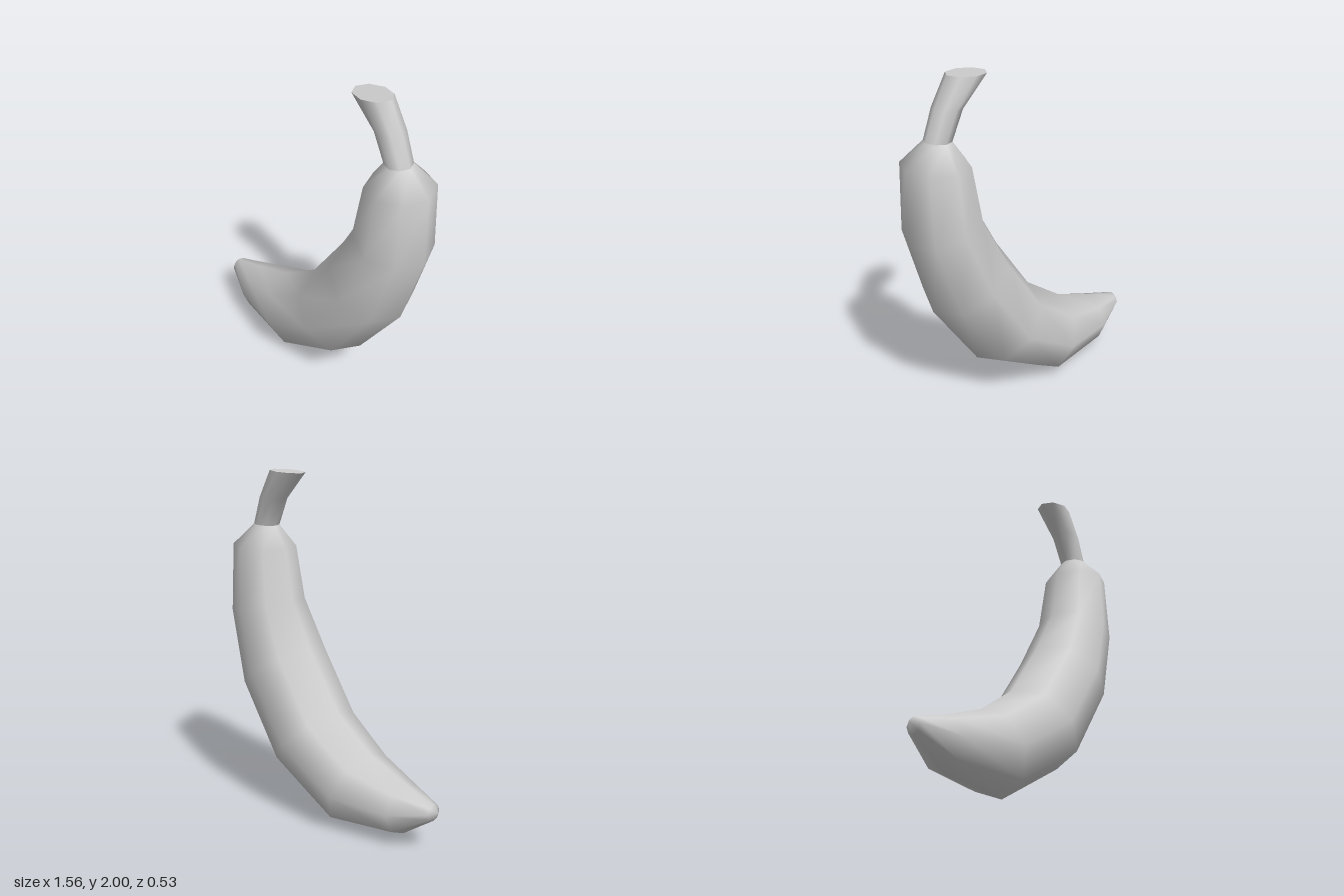
import * as THREE from 'three';
import { mergeVertices } from 'three/addons/utils/BufferGeometryUtils.js';

const SIDES = 8;

// Smooth skin over rings given as [innerX, innerY, outerX, outerY, halfDepth]; halfDepth 0 is a point.
function loft(rings) {
  const positions = [], index = [];
  for (const [ix, iy, ox, oy, w] of rings) {
    for (let j = 0; j < SIDES; j++) {
      const a = (j / SIDES) * Math.PI * 2;
      const k = (1 + Math.cos(a)) / 2;
      positions.push(ix + (ox - ix) * k, iy + (oy - iy) * k, w * Math.sin(a));
    }
  }
  for (let i = 0; i < rings.length - 1; i++) {
    for (let j = 0; j < SIDES; j++) {
      const a = i * SIDES + j, b = i * SIDES + (j + 1) % SIDES;
      const c = a + SIDES, d = b + SIDES;
      if (rings[i][4] > 0) index.push(a, c, b);
      if (rings[i + 1][4] > 0) index.push(b, c, d);
    }
  }
  let geometry = new THREE.BufferGeometry();
  geometry.setAttribute('position', new THREE.Float32BufferAttribute(positions, 3));
  geometry.setIndex(index);
  geometry = mergeVertices(geometry, 1e-4);
  geometry.computeVertexNormals();
  return geometry;
}

export function createModel() {
  const group = new THREE.Group();
  group.name = 'banana';
  const material = new THREE.MeshStandardMaterial({ color: 0xcccccc });
  const add = (name, rings) => {
    const mesh = new THREE.Mesh(loft(rings), material);
    mesh.name = name;
    group.add(mesh);
  };

  // Curved fruit, from the pointed tip up to the shoulder
  const shoulder = [0.49, 1.67, 0.64, 1.68, 0.075];
  add('fruit', [
    [-0.78, 0.245, -0.78, 0.245, 0],
    [-0.75, 0.285, -0.75, 0.19, 0.05],
    [-0.54, 0.35, -0.54, 0.045, 0.15],
    [-0.28, 0.45, -0.11, 0.0, 0.238],
    [-0.03, 0.63, 0.355, 0.265, 0.267],
    [0.2, 0.97, 0.645, 0.695, 0.267],
    [0.345, 1.24, 0.777, 1.145, 0.223],
    [0.4, 1.54, 0.77, 1.56, 0.19],
    shoulder,
  ]);

  // Bent stem
  const stemTop = [0.257, 1.985, 0.495, 2.0, 0.088];
  add('stem', [shoulder, [0.42, 1.83, 0.58, 1.84, 0.082], stemTop]);

  // Flat cut end of the stem
  add('stemCut', [stemTop, [0.376, 1.9925, 0.376, 1.9925, 0]]);

  return group;
}
